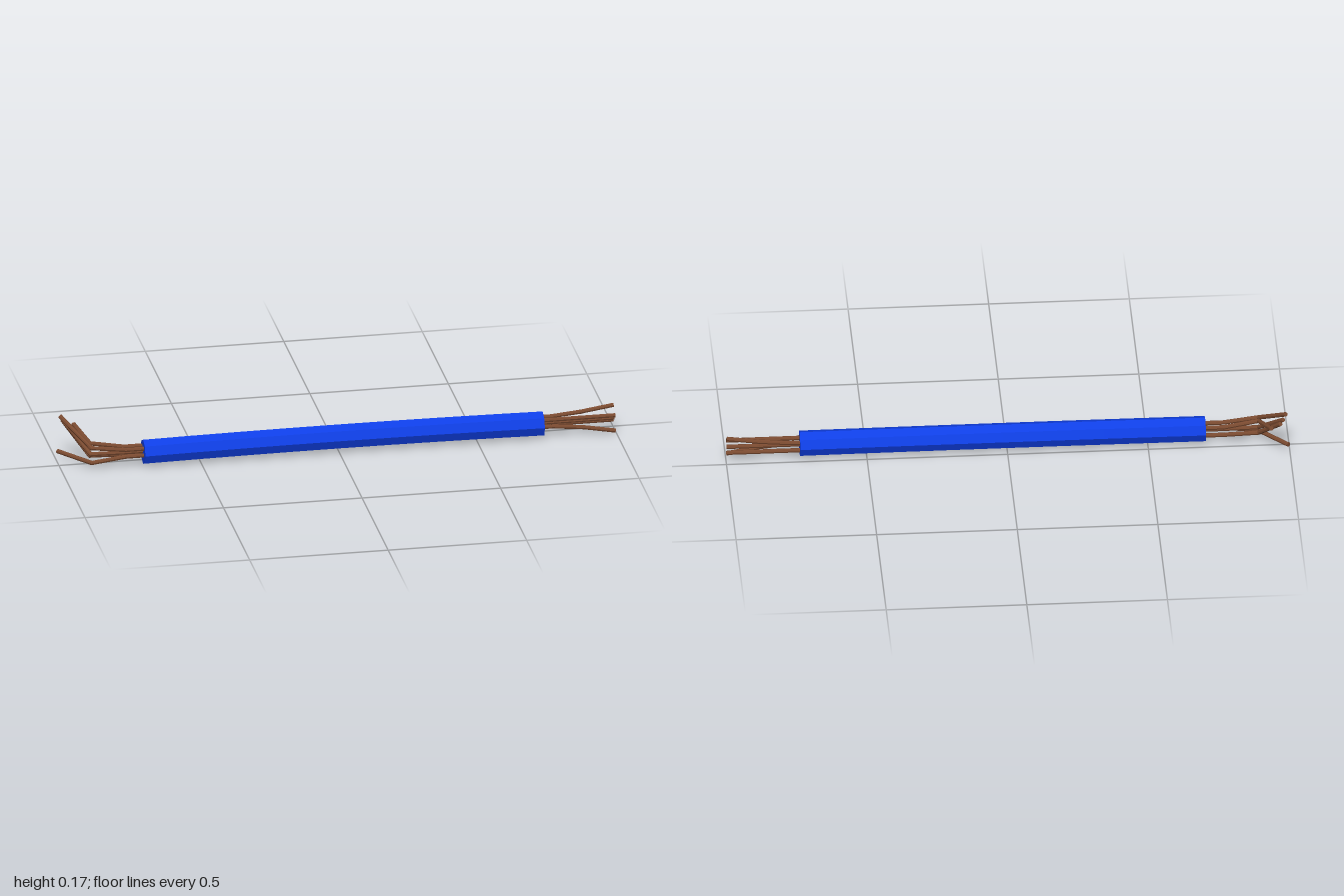
import * as THREE from 'three';

const blue = new THREE.MeshStandardMaterial({ color: 0x0f3fe6, flatShading: true });
const copper = new THREE.MeshStandardMaterial({ color: 0x7a4a30, flatShading: true });
const WIRE_RADIUS = 0.008;

// Octagonal sleeve, bowed slightly up and back along its length
function makeSheath() {
  const start = -0.705, end = 0.737, length = end - start, mid = (start + end) / 2;
  const geo = new THREE.CylinderGeometry(0.046, 0.046, length, 8, 8);
  geo.rotateZ(-Math.PI / 2);
  const p = geo.attributes.position;
  for (let i = 0; i < p.count; i++) {
    const t = p.getX(i) / (length / 2);
    const bow = 0.004 * (1 - t * t);
    p.setXYZ(i, p.getX(i) + mid, p.getY(i) + 0.05 + bow, p.getZ(i) + 0.0465 - bow);
  }
  geo.computeVertexNormals();
  const mesh = new THREE.Mesh(geo, blue);
  mesh.name = 'sheath';
  return mesh;
}

// Straight rods joined by small balls at the bends
function makeWire(points) {
  const wire = new THREE.Group();
  const pts = points.map((p) => new THREE.Vector3(...p));
  const up = new THREE.Vector3(0, 1, 0);
  for (let i = 0; i < pts.length - 1; i++) {
    const dir = pts[i + 1].clone().sub(pts[i]);
    const rod = new THREE.Mesh(
      new THREE.CylinderGeometry(WIRE_RADIUS, WIRE_RADIUS, dir.length(), 8), copper);
    rod.position.copy(pts[i]).addScaledVector(dir, 0.5);
    rod.quaternion.setFromUnitVectors(up, dir.normalize());
    rod.name = 'wireSegment';
    wire.add(rod);
    if (i > 0) {
      const joint = new THREE.Mesh(new THREE.SphereGeometry(WIRE_RADIUS, 8, 6), copper);
      joint.position.copy(pts[i]);
      joint.name = 'wireBend';
      wire.add(joint);
    }
  }
  wire.name = 'wire';
  return wire;
}

export function createModel() {
  const model = new THREE.Group();
  model.name = 'cable';
  model.add(makeSheath());

  // Each strand: y, z in the sleeve; bend height and tip at the -x end; heights at the +x end
  const strands = [
    { y: 0.05, z: 0.04, bendY: 0.052, tip: [-0.975, 0.147, -0.067], out: [0.05, 0.05] },
    { y: 0.066, z: 0.057, bendY: 0.082, tip: [-0.985, 0.165, -0.06], out: [0.066, 0.066] },
    { y: 0.036, z: 0.023, bendY: 0.04, tip: [-0.965, 0.132, -0.07], out: [0.036, 0.036] },
    { y: 0.066, z: 0.025, bendY: 0.088, tip: [-0.932, 0.122, -0.083], out: [0.076, 0.093] },
    { y: 0.042, z: 0.061, bendY: 0.027, tip: [-0.995, 0.034, -0.055], out: [0.031, 0.009] },
  ];
  for (const { y, z, bendY, tip, out } of strands) {
    model.add(makeWire([
      tip, [-0.893, bendY, z], [-0.77, y, z], [0.77, y, z], [0.88, out[0], z], [0.997, out[1], z],
    ]));
  }
  return model;
}
